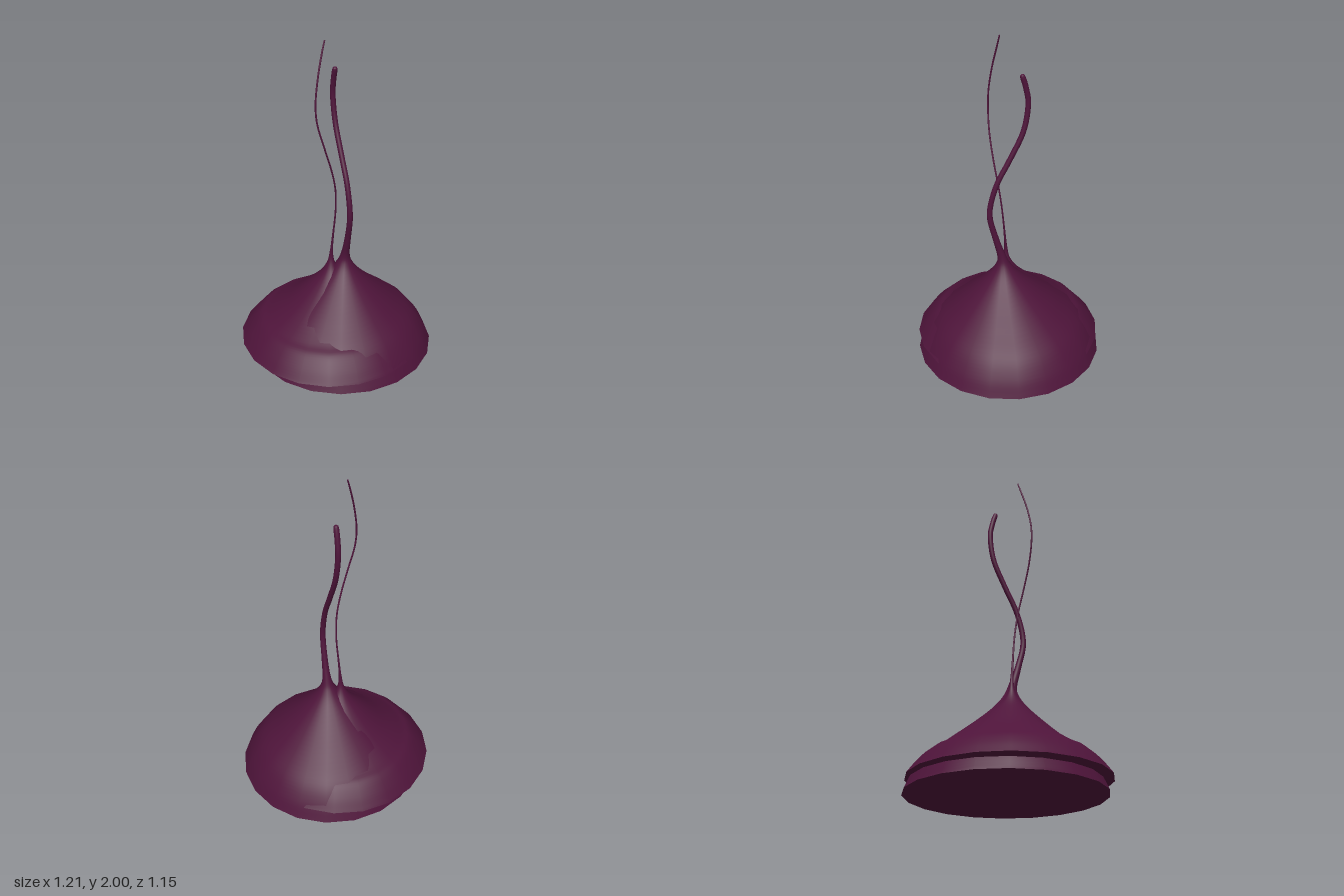
import * as THREE from 'three';

const SIDES = 20;
const STEPS = 5;
const material = new THREE.MeshStandardMaterial({ color: 0x4e143a, roughness: 0.8 });

// Sweeps a ring along stations [centre x, y, centre z, radius]; rings lie flat
// in the bell and turn to follow the path in the stem.
function sweep(stations, turn) {
  const path = new THREE.CatmullRomCurve3(stations.map(([x, y, z]) => new THREE.Vector3(x, y, z)), false, 'catmullrom', 0.5);
  const radii = new THREE.CatmullRomCurve3(stations.map((s) => new THREE.Vector3(s[3], 0, 0)), false, 'catmullrom', 0.5);
  const rows = (stations.length - 1) * STEPS;
  const up = new THREE.Vector3(0, 1, 0);
  const positions = [];
  const index = [];
  for (let i = 0; i <= rows; i++) {
    const t = i / rows;
    const centre = path.getPoint(t);
    const radius = Math.max(0.001, radii.getPoint(t).x);
    const follow = THREE.MathUtils.smoothstep(centre.y, 0.5, 0.8);
    const axis = up.clone().lerp(path.getTangent(t), follow).normalize();
    const tilt = new THREE.Quaternion().setFromUnitVectors(up, axis);
    for (let j = 0; j < SIDES; j++) {
      const a = (j / SIDES) * Math.PI * 2 + turn;
      const p = new THREE.Vector3(Math.cos(a) * radius, 0, Math.sin(a) * radius);
      p.applyQuaternion(tilt).add(centre);
      positions.push(p.x, p.y, p.z);
      if (i < rows) {
        const k = i * SIDES + j;
        const n = i * SIDES + ((j + 1) % SIDES);
        index.push(k, k + SIDES, n, n, k + SIDES, n + SIDES);
      }
    }
  }
  // End caps with their own vertices, so the rims stay sharp
  for (const row of [0, rows]) {
    const first = positions.length / 3;
    const ring = positions.slice(row * SIDES * 3, (row + 1) * SIDES * 3);
    const c = path.getPoint(row / rows);
    positions.push(...ring, c.x, c.y, c.z);
    for (let j = 0; j < SIDES; j++) {
      const a = first + j;
      const b = first + ((j + 1) % SIDES);
      index.push(first + SIDES, ...(row === 0 ? [a, b] : [b, a]));
    }
  }
  const geometry = new THREE.BufferGeometry();
  geometry.setAttribute('position', new THREE.Float32BufferAttribute(positions, 3));
  geometry.setIndex(index);
  geometry.computeVertexNormals();
  return geometry;
}

export function createModel() {
  const group = new THREE.Group();
  const add = (name, stations, turn) => {
    const mesh = new THREE.Mesh(sweep(stations, turn), material);
    mesh.name = name;
    group.add(mesh);
  };

  // Lower bell, drawn out into the thick wavy stem
  add('lowerBellWithThickStem', [
    [0.03, 0, 0, 0.575], [0.03, 0.1, 0, 0.527], [0.03, 0.2, 0.002, 0.455],
    [0.03, 0.3, 0.01, 0.34], [0.032, 0.4, 0.02, 0.222], [0.035, 0.5, 0.028, 0.115],
    [0.039, 0.58, 0.033, 0.052], [0.042, 0.65, 0.043, 0.027], [0.045, 0.78, 0.08, 0.019],
    [0.046, 0.95, 0.115, 0.017], [0.041, 1.13, 0.075, 0.016], [0.031, 1.29, -0.005, 0.016],
    [0.02, 1.46, -0.085, 0.016], [0.013, 1.62, -0.113, 0.016], [0.013, 1.72, -0.1, 0.016],
    [0.015, 1.79, -0.08, 0.015], [0.015, 1.804, -0.076, 0.006],
  ], 0);

  // Upper bell, nested over the first, drawn out into the thin stem
  add('upperBellWithThinStem', [
    [-0.033, 0.07, -0.002, 0.576], [-0.033, 0.14, -0.002, 0.522], [-0.033, 0.2, -0.002, 0.462],
    [-0.033, 0.235, -0.002, 0.397], [-0.034, 0.31, 0, 0.285], [-0.035, 0.4, 0.003, 0.18],
    [-0.037, 0.5, 0.006, 0.078], [-0.039, 0.58, 0.008, 0.026], [-0.037, 0.66, 0.01, 0.01],
    [-0.029, 0.78, 0.019, 0.006], [-0.018, 0.95, 0.035, 0.005], [-0.025, 1.1, 0.055, 0.005],
    [-0.056, 1.24, 0.078, 0.005], [-0.105, 1.4, 0.097, 0.005], [-0.144, 1.54, 0.101, 0.005],
    [-0.152, 1.66, 0.096, 0.005], [-0.132, 1.8, 0.077, 0.005], [-0.103, 1.92, 0.053, 0.005],
    [-0.08, 2, 0.038, 0.004],
  ], 0.02);

  return group;
}
